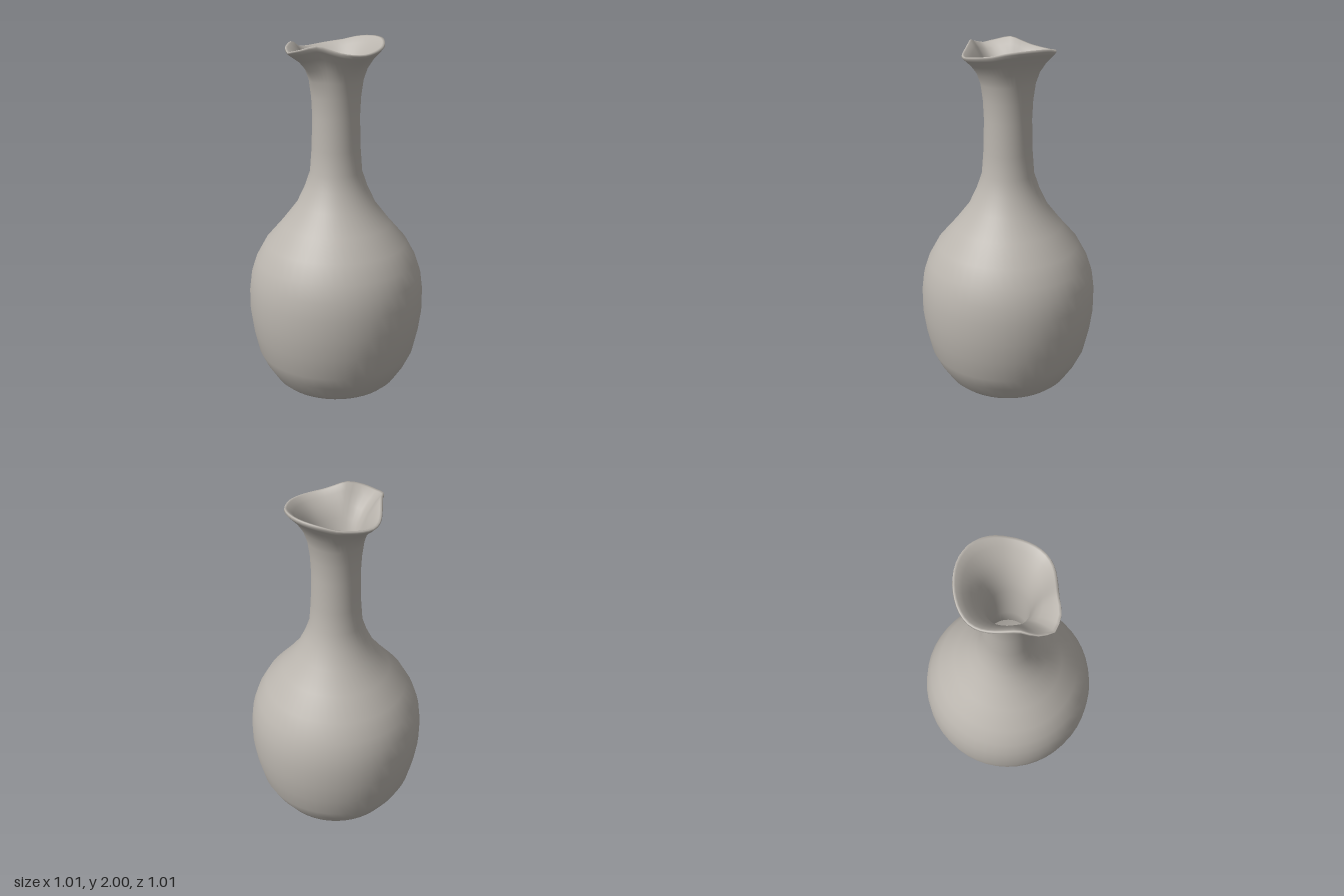
import * as THREE from 'three';
import { mergeVertices } from 'three/addons/utils/BufferGeometryUtils.js';

const SEGMENTS = 48;
const FLARE_START = 1.7;
const RIM_RADIUS = 0.26;
const RIM_Y = 1.95;

// Rim shape every 15 degrees from the front spout round to the back
const rimRadius = [0.315, 0.29, 0.248, 0.234, 0.237, 0.25, 0.26, 0.26, 0.258, 0.26, 0.266, 0.272, 0.275];
const rimLift = [0, 0.02, 0.04, 0.023, 0.004, -0.006, -0.008, 0, 0.01, 0.02, 0.037, 0.047, 0.05];

const rimCurve = new THREE.CatmullRomCurve3(
  rimRadius.map((r, i) => new THREE.Vector3(r, rimLift[i], 0)), false, 'catmullrom', 0.5);

// Pulls the flared mouth into a spout with a wavy lip
function shapeMouth(geometry) {
  const pos = geometry.attributes.position;
  for (let i = 0; i < pos.count; i++) {
    const x = pos.getX(i), y = pos.getY(i), z = pos.getZ(i);
    if (y <= FLARE_START) continue;
    const rim = rimCurve.getPoint(Math.abs(Math.atan2(x, z)) / Math.PI);
    const t = (y - FLARE_START) / (RIM_Y - FLARE_START);
    const w = t * t;
    const scale = 1 + (rim.x / RIM_RADIUS - 1) * w;
    pos.setXYZ(i, x * scale, y + rim.y * w, z * scale);
  }
}

export function createModel() {
  const group = new THREE.Group();
  group.name = 'vase';
  const clay = new THREE.MeshStandardMaterial({ color: 0xbab5ae });
  clay.name = 'warm grey clay';

  // Outer wall from base to lip, then down the inside to the floor
  const profile = [
    [0, 0.008], [0.27, 0.008], [0.3, 0], [0.335, 0.008], [0.365, 0.035],
    [0.42, 0.12], [0.458, 0.2], [0.487, 0.33], [0.503, 0.45], [0.503, 0.57],
    [0.49, 0.67], [0.46, 0.76], [0.405, 0.86], [0.31, 0.97], [0.225, 1.08],
    [0.178, 1.18], [0.147, 1.27], [0.137, 1.4], [0.132, 1.58], [0.137, 1.69],
    [0.15, 1.78], [0.172, 1.84], [0.208, 1.89], [0.246, 1.925], [0.26, 1.94],
    [0.257, 1.95], [0.245, 1.948],
    [0.215, 1.922], [0.175, 1.875], [0.145, 1.82], [0.122, 1.75], [0.11, 1.67],
    [0.105, 1.55], [0.108, 1.4], [0.12, 1.27], [0.2, 1.08], [0.285, 0.96],
    [0.38, 0.85], [0.435, 0.75], [0.475, 0.57], [0.475, 0.45], [0.43, 0.2],
    [0.34, 0.06], [0.27, 0.04], [0, 0.04],
  ].map(([r, y]) => new THREE.Vector2(r, y));

  let body = new THREE.LatheGeometry(profile, SEGMENTS);
  shapeMouth(body);

  // Weld the seam so shading is smooth all round
  body.deleteAttribute('uv');
  body.deleteAttribute('normal');
  body = mergeVertices(body, 1e-4);
  body.computeVertexNormals();

  const mesh = new THREE.Mesh(body, clay);
  mesh.name = 'vaseBody';
  group.add(mesh);
  return group;
}
